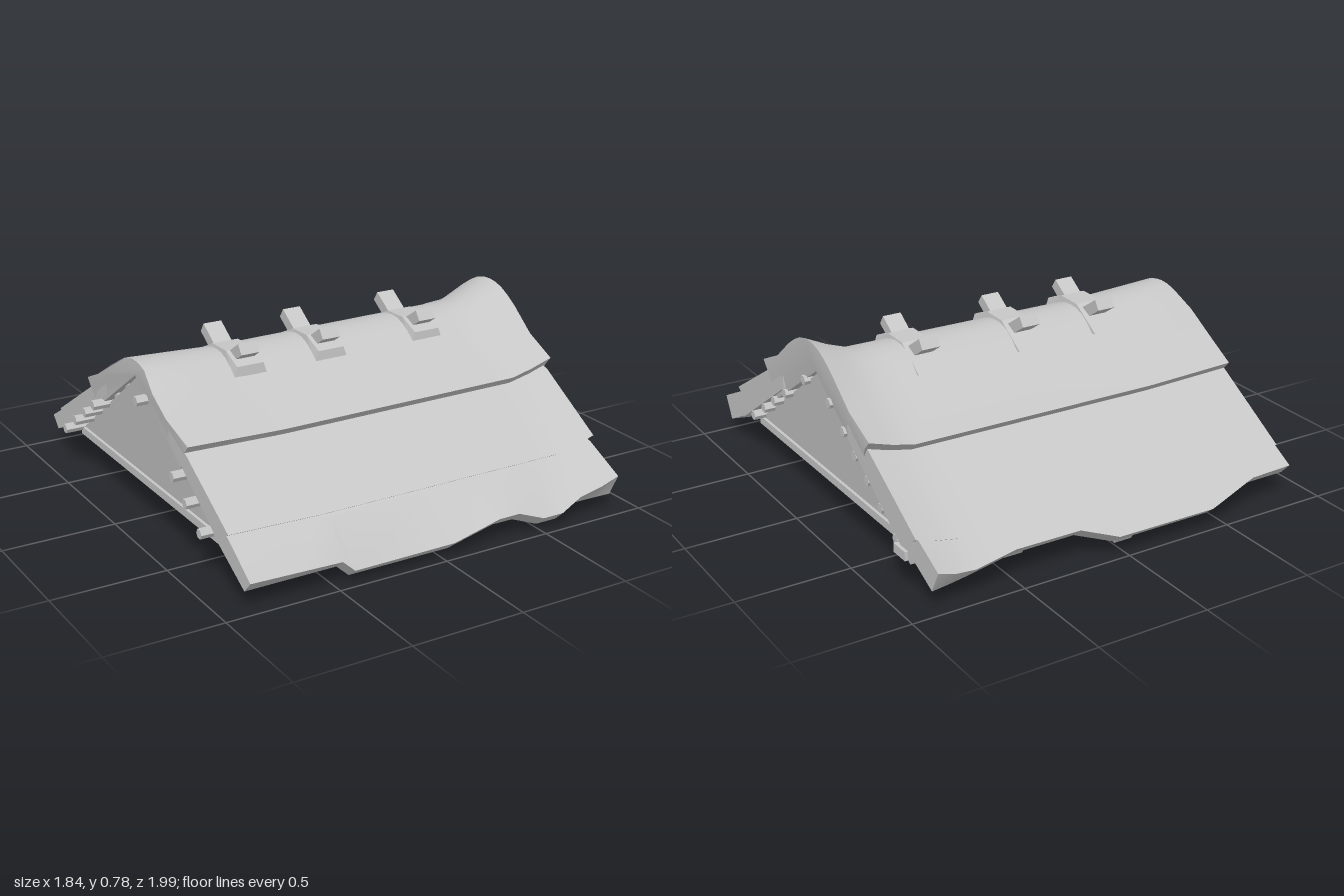
import * as THREE from 'three';
import { toCreasedNormals } from 'three/addons/utils/BufferGeometryUtils.js';
import { ConvexGeometry } from 'three/addons/geometries/ConvexGeometry.js';

const grey = new THREE.MeshStandardMaterial({ color: 0xc6c6c6 });
grey.name = 'weathered grey';

const SLOPE = 0.67;
const under = (z) => 0.645 - SLOPE * Math.abs(z); // underside line of the roof

// Piecewise linear lookup in [x, value] pairs
function along(keys, x) {
  if (x <= keys[0][0]) return keys[0][1];
  for (let i = 1; i < keys.length; i++) {
    const [x0, v0] = keys[i - 1], [x1, v1] = keys[i];
    if (x <= x1) return v0 + (v1 - v0) * (x - x0) / (x1 - x0);
  }
  return keys[keys.length - 1][1];
}

// Skin rings of [z, y, xShift] along x, closing both ends
function loft(xs, ringAt) {
  const pos = [];
  const rings = xs.map((x) => ringAt(x).map(([z, y, dx = 0]) => new THREE.Vector3(x + dx, y, z)));
  const tri = (a, b, c) => pos.push(...a.toArray(), ...b.toArray(), ...c.toArray());
  for (let i = 0; i + 1 < rings.length; i++) {
    const p = rings[i], q = rings[i + 1], n = p.length;
    for (let j = 0; j < n; j++) {
      const k = (j + 1) % n;
      tri(p[j], q[j], q[k]);
      tri(p[j], q[k], p[k]);
    }
  }
  for (const [ring, dir] of [[rings[0], -1], [rings[rings.length - 1], 1]]) {
    const flat = ring.map((v) => new THREE.Vector2(v.z, v.y));
    for (const [a, b, c] of THREE.ShapeUtils.triangulateShape(flat, [])) {
      const u = flat[b].clone().sub(flat[a]), w = flat[c].clone().sub(flat[a]);
      if (u.cross(w) * dir < 0) tri(ring[a], ring[b], ring[c]);
      else tri(ring[a], ring[c], ring[b]);
    }
  }
  const g = new THREE.BufferGeometry();
  g.setAttribute('position', new THREE.Float32BufferAttribute(pos, 3));
  return toCreasedNormals(g, 0.5);
}

const STATIONS = [-0.88, -0.68, -0.47, -0.42, 0.05, 0.2, 0.28, 0.38, 0.5, 0.6, 0.7, 0.8, 0.88];
const LIFT = [[-0.88, 0.02], [-0.45, 0], [0.7, 0.01], [0.8, 0.045], [0.88, 0.095]]; // curled ends
const FRONT_DROP = [[-0.47, 0], [-0.42, 0.045], [0.05, 0.045], [0.28, 0], [0.38, 0], [0.5, 0.045], [0.6, 0.045], [0.7, 0]];
const BACK_EDGE = [[-0.88, 0.94], [-0.68, 0.94], [-0.42, 1], [0.05, 1], [0.2, 0.94], [0.5, 0.94], [0.88, 0.99]];
const RAFTERS = [-0.44, -0.05, 0.44];

// Turn a front-side ring into a back-side ring
const sided = (ring, s) => (s > 0 ? ring : ring.map(([z, y, dx]) => [-z, y, dx]).reverse());

export function createModel() {
  const model = new THREE.Group();
  const add = (name, geometry) => {
    const m = new THREE.Mesh(geometry, grey);
    m.name = name;
    model.add(m);
    return m;
  };

  // Rounded ridge cap
  const capTop = [[0.435, 0.437], [0.472, 0.48], [0.32, 0.55], [0.2, 0.612], [0.14, 0.65], [0.09, 0.675], [0.04, 0.688]];
  add('ridgeCap', loft(STATIONS, (x) => {
    const l = along(LIFT, x);
    const up = ([z, y]) => {
      const dx = x > 0.85 ? 0.025 : x < -0.85 && z > 0.15 && z < 0.4 ? -0.018 : 0;
      return [z, y + l * (z > 0.3 ? 0.65 : 1), dx];
    };
    const front = capTop.map(up);
    const back = front.map(([z, y, dx]) => (z > 0.3 ? [-z * 1.07, y - 0.015, dx] : [-z, y, dx])).reverse();
    return [...front, up([0, 0.691]), ...back, [-0.4, under(0.4)], [0, under(0)], [0.4, under(0.4)]];
  }));

  for (const s of [1, -1]) {
    const side = s > 0 ? 'front' : 'back';

    // Middle covering sheet
    const edge = s > 0 ? 0.8 : 0.85, edgeY = s > 0 ? 0.238 : 0.205;
    add(side + 'MiddleSheet', loft(STATIONS, (x) => {
      const l = along(LIFT, x) * 0.55, dx = x > 0.85 ? 0.015 : 0;
      return sided([[edge - 0.05, under(edge - 0.05) + 0.02, dx], [edge - 0.03, edgeY - 0.018 + l, dx], [edge, edgeY + l, dx],
        [0.46, 0.44 + l, dx], [0.3, 0.52, dx], [0.3, under(0.3) + 0.02, dx]], s);
    }));

    // Eave sheet with a wavy lower edge
    add(side + 'EaveSheet', loft(STATIONS, (x) => {
      const lift = along(LIFT, x), l = lift * 0.75;
      const drop = along(FRONT_DROP, x);
      const z = s > 0 ? 0.968 + lift * 0.25 + drop * 0.25 : along(BACK_EDGE, x);
      const y = s > 0 ? 0.103 - drop : 0.205 - (z - 0.85) * 0.72;
      return sided([[z - 0.05, y - 0.04 + l * 0.15], [z, y + l],
        [0.8, edgeY - 0.015 + (s > 0 ? 0 : 0.035) + l * 0.6], [0.68, 0.29], [0.68, under(0.68) + 0.01]], s);
    }));

    // Long battens, some with ends sticking out of the left gable
    const battens = s > 0 ? [0.1, 0.3, 0.42, 0.53, 0.65] : [0.13, 0.25, 0.35, 0.45, 0.56, 0.68];
    for (const z of battens) {
      const hidden = s > 0 ? z === 0.3 : z < 0.3;
      const x0 = hidden ? -0.86 : -0.93, x1 = 0.895;
      const b = add(side + 'Batten', toCreasedNormals(new THREE.CylinderGeometry(0.022, 0.022, x1 - x0, 6), 0.3));
      b.rotation.z = Math.PI / 2;
      b.position.set((x0 + x1) / 2, under(z) - 0.005, s * z);
    }

    // Rafters crossing above the ridge, one reaching past the front eave
    for (const x of RAFTERS) {
      const z0 = 0.17, z1 = s < 0 && x === -0.05 ? -0.895 : -0.83;
      const r = add(side + 'Rafter', new THREE.BoxGeometry(0.085, 0.05, (z0 - z1) * Math.hypot(1, SLOPE)));
      r.rotation.x = s * Math.atan(SLOPE);
      r.position.set(x, 0.622 + SLOPE * (z0 + z1) / 2, -s * (z0 + z1) / 2);
      r.name = (s > 0 ? 'back' : 'front') + 'Rafter';
    }
  }

  // Collars where the rafters pass through the cap
  const collar = [[0.083, 0.6, 0.185], [0.083, 0.58, 0], [0.062, 0.667, 0.182],
    [0.06, 0.708, 0.08], [0.06, 0.705, -0.04], [0.078, 0.622, -0.215]];
  for (const x of RAFTERS) {
    add('rafterCollar', new ConvexGeometry([-1, 1].flatMap((m) =>
      collar.map(([w, y, z]) => new THREE.Vector3(x + m * w, y, z)))));
  }

  // Gable walls leaning slightly outward, with sill beams
  const wall = new THREE.Shape([[-0.7, 0.16], [0.7, 0.16], [0, 0.635]].map(([z, y]) => new THREE.Vector2(z, y)));
  for (const m of [1, -1]) {
    const g = new THREE.ExtrudeGeometry(wall, { depth: 0.03, bevelEnabled: false });
    g.rotateY(-Math.PI / 2);
    const p = g.attributes.position;
    for (let i = 0; i < p.count; i++) p.setX(i, p.getX(i) + 0.015 + m * (0.82 + (p.getY(i) - 0.16) * 0.08));
    g.computeVertexNormals();
    add('gableWall', g);
    add('gableSill', new THREE.BoxGeometry(0.06, 0.035, 1.36)).position.set(m * 0.82, 0.163, 0);
  }

  // Short peg at the back corner
  add('cornerPeg', new THREE.BoxGeometry(0.06, 0.04, 0.09)).position.set(0.88, 0.16, -0.74);

  return model;
}
